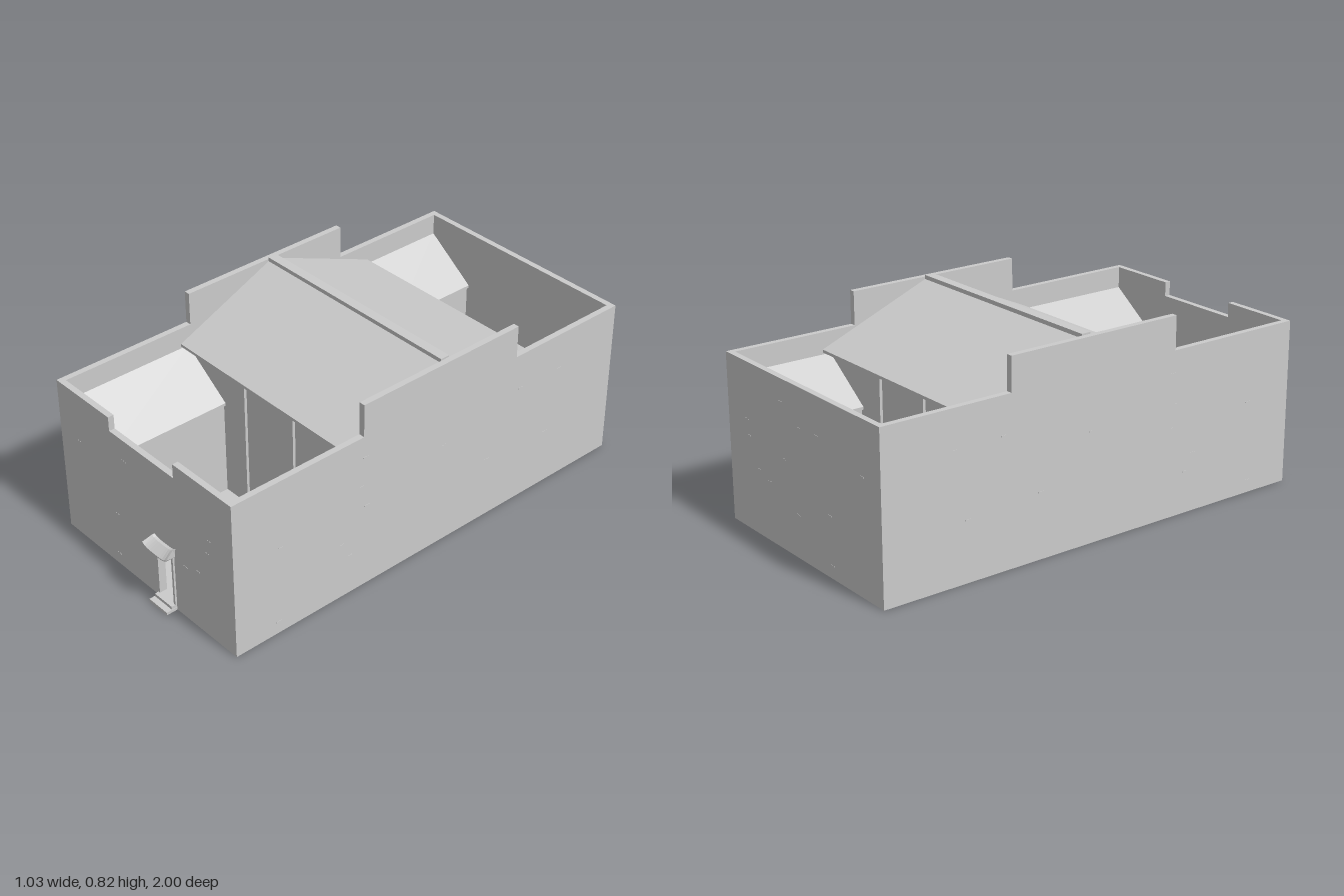
import * as THREE from 'three';

const mat = new THREE.MeshStandardMaterial({ color: 0xcccccc, flatShading: true, side: THREE.DoubleSide });

function add(parent, name, geo) {
  const m = new THREE.Mesh(geo, mat);
  m.name = name;
  parent.add(m);
  return m;
}

// Box given by its minimum and maximum corners
function box(parent, name, x0, x1, y0, y1, z0, z1) {
  const g = new THREE.BoxGeometry(x1 - x0, y1 - y0, z1 - z0);
  g.translate((x0 + x1) / 2, (y0 + y1) / 2, (z0 + z1) / 2);
  return add(parent, name, g);
}

const shapeOf = pts => new THREE.Shape(pts.map(p => new THREE.Vector2(...p)));

// Extrude an (x, y) outline from z0 to z1
function extrudeZ(shape, z0, z1) {
  return new THREE.ExtrudeGeometry(shape, { depth: z1 - z0, bevelEnabled: false }).translate(0, 0, z0);
}

// Extrude a (z, y) outline from x0 to x1
function extrudeX(shape, x0, x1) {
  return new THREE.ExtrudeGeometry(shape, { depth: x1 - x0, bevelEnabled: false })
    .rotateY(-Math.PI / 2).translate(x1, 0, 0);
}

// Little gate roof: four-cornered sections swept along x, curling up at the ends
function gateRoofGeometry(cx) {
  const n = 10, pos = [], idx = [];
  for (let i = 0; i <= n; i++) {
    const t = (i / n) * 2 - 1, lift = 0.014 * t ** 4;
    const section = [ // z, y, half width
      [0.945, 0.25, 0.056], [0.997, 0.25 + lift, 0.068],
      [1.0, 0.258 + lift, 0.073], [0.962, 0.282 + lift * 0.7, 0.062], [0.945, 0.282 + lift * 0.7, 0.062],
    ];
    for (const [z, y, w] of section) pos.push(cx + t * w, y, z);
  }
  for (let i = 0; i < n; i++) {
    for (let j = 0; j < 5; j++) {
      const a = i * 5 + j, b = i * 5 + (j + 1) % 5;
      idx.push(a, b, a + 5, b, b + 5, a + 5);
    }
  }
  for (let j = 1; j < 4; j++) idx.push(0, j + 1, j, n * 5, n * 5 + j, n * 5 + j + 1);
  const g = new THREE.BufferGeometry();
  g.setAttribute('position', new THREE.Float32BufferAttribute(pos, 3));
  g.setIndex(idx);
  g.computeVertexNormals();
  return g;
}

export function createModel() {
  const model = new THREE.Group();
  model.name = 'courtyardHouse';
  const W = 0.515, IN = 0.49, F = 0.95, B = -1, T = 0.025;

  // Ground slab
  box(model, 'floor', -IN, IN, 0, 0.006, B + T, F - T);

  // Front wall with a notch in the parapet and the gate opening
  const front = shapeOf([[-IN, 0], [IN, 0], [IN, 0.68], [0.19, 0.68], [0.19, 0.62],
    [-0.19, 0.62], [-0.19, 0.68], [-IN, 0.68]]);
  front.holes.push(new THREE.Path([[0.072, 0.02], [0.072, 0.238], [0.16, 0.238], [0.16, 0.02]]
    .map(p => new THREE.Vector2(...p))));
  add(model, 'frontWall', extrudeZ(front, F - T, F));
  box(model, 'backWall', -IN, IN, 0, 0.68, B, B + T);

  // Side walls, stepped up beside the hall roof
  const side = shapeOf([[B, 0], [F, 0], [F, 0.68], [0.34, 0.68], [0.34, 0.818],
    [-0.44, 0.818], [-0.44, 0.68], [B, 0.68]]);
  add(model, 'leftWall', extrudeX(side, IN, W));
  add(model, 'rightWall', extrudeX(side, -W, -IN));

  // Hall across the middle: gable roof, ridge beam, walls and door posts
  const hall = new THREE.Group();
  hall.name = 'hall';
  model.add(hall);
  add(hall, 'hallRoof', extrudeX(shapeOf([[0.39, 0.61], [-0.06, 0.808], [-0.1, 0.808], [-0.59, 0.61],
    [-0.59, 0.598], [-0.1, 0.795], [-0.06, 0.795], [0.39, 0.598]]), -IN, IN));
  box(hall, 'ridgeBeam', -IN, IN, 0.8, 0.825, -0.1, -0.06);
  for (const [z, out] of [[0.345, 1], [-0.545, -1]]) {
    box(hall, 'hallWall', -IN, IN, 0, 0.612, z - 0.01, z + 0.01);
    for (const x of [-0.142, 0.142]) {
      const zc = z + out * 0.014;
      box(hall, 'doorPost', x - 0.009, x + 0.009, 0, 0.605, zc - 0.008, zc + 0.008);
    }
  }

  // Four side wings with lean-to roofs falling towards the courtyards
  for (const s of [-1, 1]) {
    for (const [z0, z1] of [[0.355, F - T], [B + T, -0.555]]) {
      const wing = new THREE.Group();
      wing.name = 'sideWing';
      model.add(wing);
      add(wing, 'wingRoof', extrudeZ(shapeOf([[s * IN, 0.59], [s * 0.267, 0.43],
        [s * 0.267, 0.418], [s * IN, 0.578]]), z0, z1));
      const x = s * 0.285;
      box(wing, 'wingWall', x - 0.008, x + 0.008, 0, 0.435, z0, z1);
    }
  }

  // Gate: jambs, lintel, steps and curled roof
  const gate = new THREE.Group();
  gate.name = 'gate';
  model.add(gate);
  box(gate, 'gateJamb', 0.063, 0.073, 0.02, 0.252, F - T, 0.958);
  box(gate, 'gateJamb', 0.157, 0.167, 0.02, 0.252, F - T, 0.958);
  box(gate, 'gateLintel', 0.063, 0.167, 0.238, 0.252, F - T, 0.958);
  box(gate, 'lowerStep', 0.062, 0.168, 0, 0.012, F - T, 1);
  box(gate, 'upperStep', 0.064, 0.166, 0.012, 0.025, F - T, 0.975);
  add(gate, 'gateRoof', gateRoofGeometry(0.115));

  // Small weathering flakes scattered on the outer walls
  let seed = 7;
  const rnd = () => (seed = (seed * 16807) % 2147483647) / 2147483647;
  const flakes = new THREE.Group();
  flakes.name = 'wallFlakes';
  model.add(flakes);
  for (let i = 0; i < 12; i++) {
    const y = 0.05 + 0.58 * rnd(), z = B + 0.08 + 1.8 * rnd(), x = -0.46 + 0.9 * rnd();
    for (const s of [-1, 1]) {
      box(flakes, 'flake', s * W - 0.001, s * W + 0.001, y, y + 0.005, z, z + 0.025);
    }
    box(flakes, 'flake', x, x + 0.025, y, y + 0.005, B - 0.001, B + 0.001);
    if (x < 0 || x > 0.2) box(flakes, 'flake', x, x + 0.025, y, y + 0.005, F - 0.001, F + 0.001);
  }
  return model;
}
